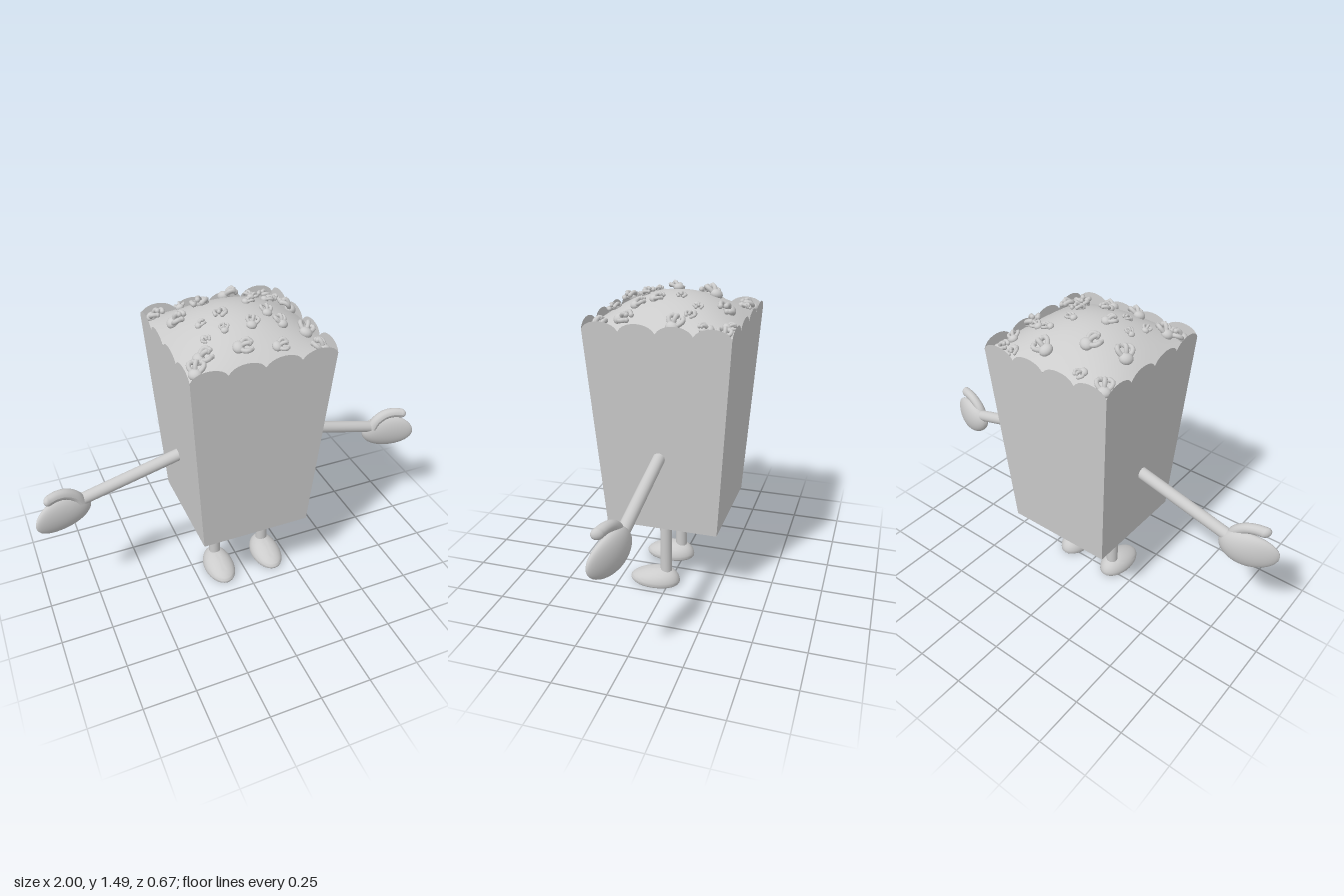
import * as THREE from 'three';
import { mergeGeometries, toCreasedNormals } from 'three/addons/utils/BufferGeometryUtils.js';

const BASE = 0.378, RIM = 1.335;
const material = new THREE.MeshStandardMaterial({ color: 0xcccccc });
const thinMaterial = new THREE.MeshStandardMaterial({ color: 0xcccccc, side: THREE.DoubleSide });

// Half width of the tapered carton at a given height
const halfAt = (y) => 0.27 + (y - BASE) * 0.066;

// Height of the popcorn mound at x, z
function moundY(x, z) {
  const u = (x / 0.33) ** 2, v = (z / 0.33) ** 2;
  return 1.455 - 0.12 * (u + v) + 0.095 * u * v;
}

function add(parent, name, geometry, mat = material) {
  const mesh = new THREE.Mesh(geometry, mat);
  mesh.name = name;
  parent.add(mesh);
  return mesh;
}

// Move every vertex by a rule, then refresh the normals
function deform(geometry, rule) {
  const p = geometry.attributes.position, v = new THREE.Vector3();
  for (let i = 0; i < p.count; i++) {
    v.fromBufferAttribute(p, i);
    rule(v);
    p.setXYZ(i, v.x, v.y, v.z);
  }
  geometry.computeVertexNormals();
  return geometry;
}

// Round bar between two points
function bar(a, b, radius) {
  return new THREE.TubeGeometry(new THREE.LineCurve3(a, b), 1, radius, 20);
}

// Flat carton wall with four scallops along the top
function wallGeometry() {
  const shape = new THREE.Shape();
  shape.moveTo(-1, BASE);
  shape.lineTo(1, BASE);
  shape.lineTo(1, RIM);
  for (let i = 0; i < 4; i++) {
    const x = 1 - i * 0.5;
    shape.bezierCurveTo(x - 0.08, RIM + 0.053, x - 0.42, RIM + 0.053, x - 0.5, RIM);
  }
  shape.lineTo(-1, BASE);
  return deform(new THREE.ShapeGeometry(shape, 10), (v) => {
    v.x *= halfAt(v.y);
    v.z = halfAt(v.y);
  });
}

// Popped kernel: round body with three curled lobes
function kernelGeometry() {
  const parts = [new THREE.SphereGeometry(0.32, 14, 10).scale(1, 0.75, 0.9).translate(0, 0.08, -0.14)];
  for (const s of [-1, 0, 1]) {
    const curve = new THREE.CatmullRomCurve3([
      new THREE.Vector3(s * 0.16, 0.12, -0.05),
      new THREE.Vector3(s * 0.34, 0.24 + (s ? 0 : 0.12), 0.14),
      new THREE.Vector3(s * 0.33, 0.27 + (s ? 0 : 0.14), 0.32),
      new THREE.Vector3(s * 0.2, 0.2 + (s ? 0 : 0.14), s ? 0.44 : 0.34),
    ]);
    parts.push(new THREE.TubeGeometry(curve, 6, 0.11, 8));
    parts.push(new THREE.SphereGeometry(0.125, 8, 6).translate(...curve.getPoint(1).toArray()));
  }
  return mergeGeometries(parts);
}

function addCarton(root) {
  const carton = new THREE.Group();
  carton.name = 'carton';
  root.add(carton);
  const wall = wallGeometry();
  ['frontWall', 'leftWall', 'backWall', 'rightWall'].forEach((name, i) => {
    add(carton, name, wall, thinMaterial).rotation.y = i * Math.PI / 2;
  });
  const floor = new THREE.PlaneGeometry(0.54, 0.54).rotateX(Math.PI / 2).translate(0, BASE, 0);
  add(carton, 'cartonFloor', floor, thinMaterial);
  // Label lying on the sloping front
  const label = deform(new THREE.PlaneGeometry(0.52, 0.52).translate(0, 0.826, 0), (v) => {
    v.z = halfAt(v.y) + 0.002;
  });
  add(carton, 'frontLabel', label, thinMaterial);
}

function addPopcorn(root) {
  const popcorn = new THREE.Group();
  popcorn.name = 'popcorn';
  root.add(popcorn);
  const mound = new THREE.PlaneGeometry(0.658, 0.658, 24, 24).rotateX(-Math.PI / 2);
  add(popcorn, 'popcornMound', deform(mound, (v) => { v.y = moundY(v.x, v.z); }), thinMaterial);

  // x, z, size, turn
  const kernels = [
    [-0.28, -0.28, 0.1, 0.6], [-0.16, -0.27, 0.065, 2.8], [0.06, -0.245, 0.105, 1.2],
    [0.2, -0.285, 0.07, 3.6], [0.28, -0.285, 0.085, 5], [0.27, -0.21, 0.075, 0.5],
    [-0.1, -0.145, 0.105, -0.6], [-0.24, -0.09, 0.105, 1], [0.135, -0.13, 0.06, 2],
    [0.075, -0.045, 0.06, 1.6], [0.205, -0.125, 0.065, 1.3], [0.285, -0.07, 0.1, 4.4],
    [-0.07, 0.02, 0.08, -0.7], [-0.175, 0.035, 0.055, 1.5], [0.12, 0.06, 0.075, 3.1],
    [-0.19, 0.13, 0.055, 0.3], [-0.1, 0.125, 0.055, 2.9], [0.02, 0.135, 0.075, 2.6],
    [0.155, 0.135, 0.08, 3.5], [0.255, 0.17, 0.1, 2.8], [-0.235, 0.215, 0.1, 1.4],
    [-0.28, 0.265, 0.1, 2.5], [-0.07, 0.235, 0.095, 1.3], [0.09, 0.26, 0.08, 1.5],
    [0.28, 0.28, 0.1, 3.9],
  ];
  const geometry = kernelGeometry();
  const up = new THREE.Vector3(0, 1, 0), e = 0.01;
  for (const [x, z, size, turn] of kernels) {
    const normal = new THREE.Vector3(
      moundY(x - e, z) - moundY(x + e, z), 2 * e, moundY(x, z - e) - moundY(x, z + e)).normalize();
    const kernel = add(popcorn, 'kernel', geometry);
    kernel.position.set(x, moundY(x, z), z);
    kernel.scale.setScalar(size * 0.95);
    kernel.quaternion.setFromUnitVectors(up, normal)
      .multiply(new THREE.Quaternion().setFromAxisAngle(up, turn));
  }
}

function addArm(root, s) {
  const arm = new THREE.Group();
  arm.name = s > 0 ? 'leftArm' : 'rightArm';
  root.add(arm);
  add(arm, 'armBar', bar(
    new THREE.Vector3(s * 0.26, 0.757, 0), new THREE.Vector3(s * 0.79, 0.622, 0), 0.029));

  // Mitten palm, curling forward towards the fingertips
  const curl = (v) => {
    v.z += 0.065 * ((Math.abs(v.x) - 0.73) / 0.27) ** 2 - 0.005;
  };
  const palm = new THREE.SphereGeometry(1, 32, 22).scale(0.136, 0.09, 0.044)
    .rotateZ(-s * 0.12).translate(s * 0.865, 0.588, 0);
  add(arm, 'palm', deform(palm, (v) => {
    v.z *= 1 - 1.8 * (Math.abs(v.x) - 0.865);
    curl(v);
  }));

  // Thumb hooking over the palm
  const path = new THREE.CatmullRomCurve3([
    [0.775, 0.622], [0.795, 0.662], [0.84, 0.695], [0.885, 0.704], [0.922, 0.7],
  ].map(([x, y]) => new THREE.Vector3(s * x, y, 0.014)));
  const thumb = mergeGeometries([
    new THREE.TubeGeometry(path, 16, 0.025, 14),
    new THREE.SphereGeometry(0.025, 14, 10).translate(s * 0.922, 0.7, 0.014),
  ]);
  add(arm, 'thumb', deform(thumb, curl));
}

function addLeg(root, name, x) {
  const leg = new THREE.Group();
  leg.name = name;
  leg.position.x = x;
  root.add(leg);
  add(leg, 'legBar', bar(
    new THREE.Vector3(0, 0.04, 0.014), new THREE.Vector3(0, BASE + 0.005, 0.014), 0.029));
  // Flat-soled shoe, lower at the toe
  const shoe = deform(new THREE.SphereGeometry(1, 32, 24), (v) => {
    const t = v.z;
    v.x *= 0.077;
    v.y = 0.016 + (v.y > 0 ? v.y * 0.066 * (1 - 0.35 * t) : Math.max(v.y, -0.4) * 0.04);
    v.z = 0.0725 + t * 0.128;
  });
  add(leg, 'shoe', toCreasedNormals(shoe, 0.7));
}

export function createModel() {
  const root = new THREE.Group();
  root.name = 'popcornCharacter';
  addCarton(root);
  addPopcorn(root);
  for (const s of [1, -1]) addArm(root, s);
  addLeg(root, 'leftLeg', 0.147);
  addLeg(root, 'rightLeg', -0.123);
  return root;
}
